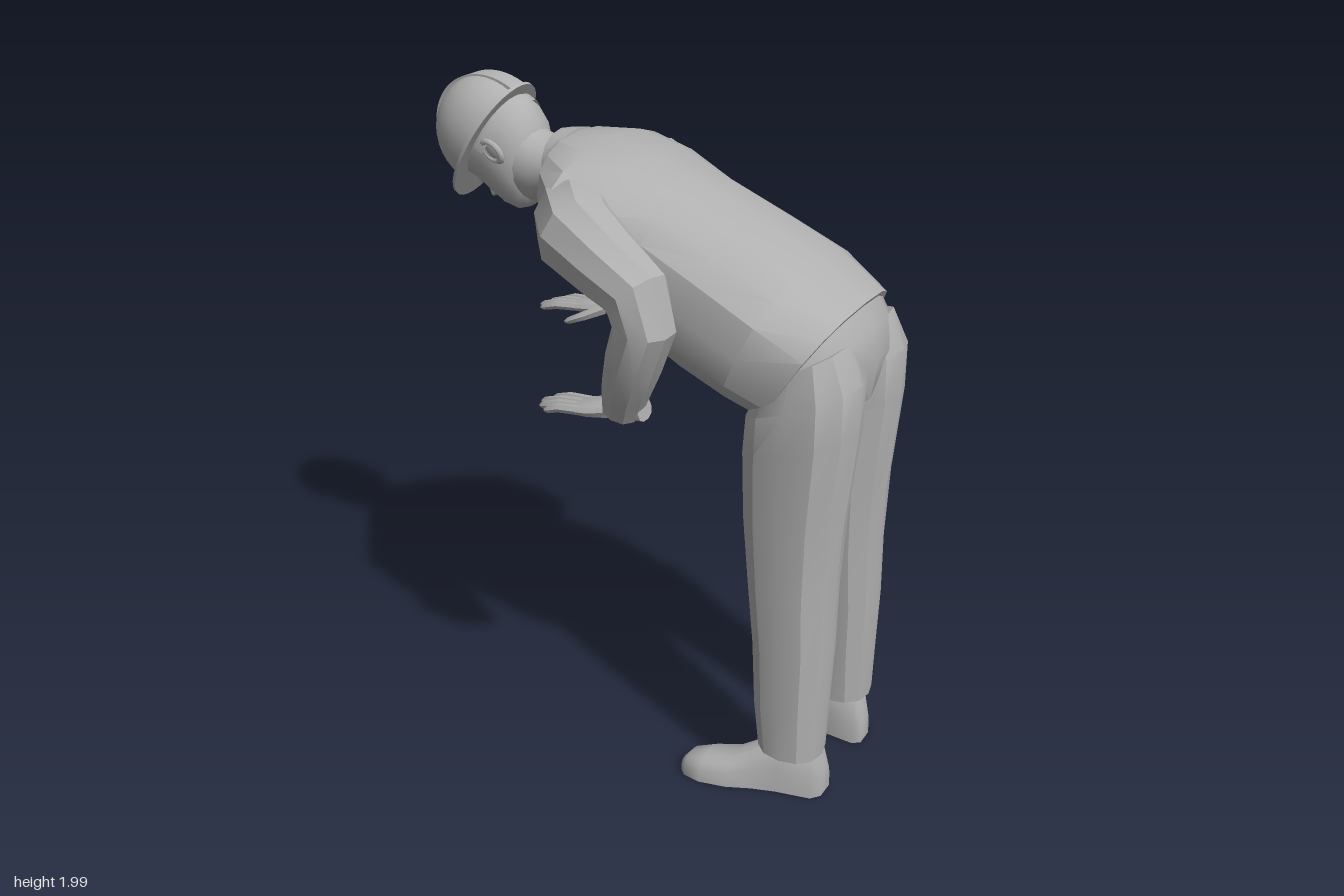
import * as THREE from 'three';
import { toCreasedNormals } from 'three/addons/utils/BufferGeometryUtils.js';

const V = (x, y, z) => new THREE.Vector3(x, y, z);

// Skin a closed tube over rings of { c: centre, u, v: half axes }
function loft(rings, sides = 14, power = 2.4, crease = 0.7, flatBase = false) {
  const pos = [], idx = [], n = rings.length;
  const bend = (t) => Math.sign(t) * Math.pow(Math.abs(t), 2 / power);
  for (const { c, u, v } of rings) {
    for (let i = 0; i < sides; i++) {
      const a = (i / sides) * Math.PI * 2;
      let s = bend(Math.sin(a));
      if (flatBase && s < 0) s = 0;
      const p = c.clone().addScaledVector(u, s).addScaledVector(v, bend(Math.cos(a)));
      pos.push(p.x, p.y, p.z);
    }
  }
  for (let r = 0; r < n - 1; r++) {
    for (let i = 0; i < sides; i++) {
      const j = (i + 1) % sides, a = r * sides, b = a + sides;
      idx.push(a + i, a + j, b + j, a + i, b + j, b + i);
    }
  }
  const first = rings[0].c, last = rings[n - 1].c;
  pos.push(first.x, first.y, first.z, last.x, last.y, last.z);
  for (let i = 0; i < sides; i++) {
    const j = (i + 1) % sides, e = (n - 1) * sides;
    idx.push(n * sides, j, i, n * sides + 1, e + i, e + j);
  }
  // Turn the faces outwards if the signed volume is negative
  const at = (i) => V(pos[i * 3], pos[i * 3 + 1], pos[i * 3 + 2]).sub(first);
  let volume = 0;
  for (let i = 0; i < idx.length; i += 3) volume += at(idx[i]).dot(at(idx[i + 1]).cross(at(idx[i + 2])));
  if (volume < 0) idx.reverse();
  const g = new THREE.BufferGeometry();
  g.setAttribute('position', new THREE.Float32BufferAttribute(pos, 3));
  g.setIndex(idx);
  return toCreasedNormals(g, crease);
}

// Rings given by two opposite profile points and a half width: [x1, y1, x2, y2, z, halfWidth]
const profile = (rows) => rows.map(([x1, y1, x2, y2, z, w]) => ({
  c: V((x1 + x2) / 2, (y1 + y2) / 2, z), u: V((x1 - x2) / 2, (y1 - y2) / 2, 0), v: V(0, 0, w),
}));

// Rings square to a path: [x, y, z, radius, sideways radius]
function path(rows) {
  const pts = rows.map((r) => V(r[0], r[1], r[2]));
  return rows.map((r, i) => {
    const t = pts[Math.min(i + 1, pts.length - 1)].clone().sub(pts[Math.max(i - 1, 0)]).normalize();
    const u = t.clone().cross(V(0, 0, 1)).normalize();
    const v = t.clone().cross(u).normalize();
    return { c: pts[i], u: u.multiplyScalar(r[3]), v: v.multiplyScalar(r[4] ?? r[3]) };
  });
}

export function createModel() {
  const grey = new THREE.MeshStandardMaterial({ color: 0xb0b0b0, side: THREE.DoubleSide });
  grey.name = 'plain grey';
  const model = new THREE.Group();
  model.name = 'bendingWorker';
  const add = (name, geo, parent = model) => {
    const m = new THREE.Mesh(geo, grey);
    m.name = name;
    parent.add(m);
    return m;
  };

  // Jacket, from neck to hem
  add('jacket', loft(profile([
    [-0.29, 1.85, -0.275, 1.65, 0, 0.12], [-0.245, 1.862, -0.25, 1.59, 0, 0.215],
    [-0.13, 1.86, -0.2, 1.53, 0, 0.325], [0, 1.83, -0.1, 1.45, 0, 0.325],
    [0.15, 1.775, 0.03, 1.35, 0, 0.285], [0.35, 1.69, 0.2, 1.265, 0, 0.3],
    [0.52, 1.61, 0.34, 1.215, 0, 0.315], [0.66, 1.515, 0.45, 1.17, 0, 0.285],
  ]), 16, 2.45, 0.5));
  add('collar', loft(profile([
    [-0.305, 1.862, -0.285, 1.645, 0, 0.12], [-0.25, 1.868, -0.23, 1.62, 0, 0.15],
  ]), 16, 2.2));
  for (const s of [1, -1]) {
    const lapel = new THREE.BufferGeometry().setFromPoints([
      V(-0.3, 1.68, 0.1 * s), V(-0.262, 1.56, 0.14 * s), V(-0.12, 1.455, 0.02 * s),
      V(-0.3, 1.68, 0.1 * s), V(-0.12, 1.455, 0.02 * s), V(-0.275, 1.61, 0.03 * s),
    ]);
    lapel.computeVertexNormals();
    add(s > 0 ? 'lapelNear' : 'lapelFar', lapel);
  }

  // Trousers and shoes
  add('hips', loft(profile([
    [0.645, 1.515, 0.435, 1.185, 0, 0.272], [0.685, 1.45, 0.41, 1.17, 0, 0.278],
    [0.708, 1.36, 0.41, 1.16, 0, 0.23], [0.69, 1.24, 0.43, 1.14, 0, 0.07],
  ]), 16, 2.4));
  for (const s of [1, -1]) {
    const side = s > 0 ? 'Near' : 'Far';
    const legRows = [
      [0.46, 1.33, 0.672, 1.44, 0.138, 0.13], [0.403, 1.21, 0.722, 1.34, 0.146, 0.146],
      [0.395, 1.1, 0.724, 1.2, 0.15, 0.138], [0.405, 0.9, 0.7, 0.93, 0.156, 0.124],
      [0.428, 0.7, 0.69, 0.7, 0.162, 0.116], [0.452, 0.5, 0.692, 0.5, 0.168, 0.108],
      [0.465, 0.3, 0.686, 0.3, 0.172, 0.101], [0.485, 0.15, 0.682, 0.15, 0.175, 0.095],
    ];
    add('trouserLeg' + side, loft(profile(legRows.map((r) => [...r.slice(0, 4), r[4] * s, r[5]])), 12, 2.25, 0.5));
    const shoeRows = [ // x, height, z, half width
      [0.688, 0.09, 0.15, 0.03], [0.665, 0.16, 0.155, 0.053], [0.56, 0.165, 0.17, 0.062],
      [0.49, 0.135, 0.19, 0.066], [0.42, 0.09, 0.213, 0.075], [0.34, 0.075, 0.235, 0.072],
      [0.285, 0.06, 0.248, 0.052], [0.264, 0.035, 0.254, 0.025],
    ];
    add('shoe' + side, loft(shoeRows.map(([x, h, z, w]) => (
      { c: V(x, 0, z * s), u: V(0, h, 0), v: V(0, 0, w) })), 16, 2.7, 0.9, true));
  }

  // Sleeves: the near elbow is drawn back, the far forearm reaches forward
  add('sleeveNear', loft(path([
    [-0.13, 1.69, 0.14, 0.11], [-0.1, 1.685, 0.24, 0.12], [-0.04, 1.67, 0.32, 0.115],
    [0.08, 1.63, 0.375, 0.1], [0.185, 1.58, 0.402, 0.09], [0.21, 1.49, 0.405, 0.084],
    [0.17, 1.38, 0.395, 0.078], [0.125, 1.28, 0.36, 0.068], [0.1, 1.205, 0.34, 0.055],
  ]), 10, 2.2, 0.5));
  add('sleeveFar', loft(path([
    [-0.13, 1.69, -0.14, 0.11], [-0.115, 1.68, -0.24, 0.12], [-0.085, 1.62, -0.32, 0.115],
    [-0.035, 1.49, -0.38, 0.1], [-0.005, 1.385, -0.402, 0.088], [-0.04, 1.325, -0.405, 0.082],
    [-0.12, 1.29, -0.39, 0.076], [-0.22, 1.24, -0.372, 0.063], [-0.31, 1.205, -0.358, 0.046],
  ]), 10, 2.2, 0.5));

  // Hands, palms down, thumbs towards the body
  const hand = (name, x, y, z, s) => {
    const g = new THREE.Group();
    g.name = name;
    g.position.set(x, y, z);
    g.rotation.z = 0.16;
    add('palm', loft(path([
      [0.04, 0, 0, 0.03, 0.036], [-0.03, 0, 0, 0.026, 0.034], [-0.08, 0, 0.004 * s, 0.026, 0.048],
      [-0.13, 0, 0, 0.022, 0.054], [-0.175, 0, 0, 0.014, 0.05],
    ]), 10), g);
    const tips = [[-0.295, 0.046], [-0.315, 0.016], [-0.3, -0.016], [-0.265, -0.046]];
    tips.forEach(([tx, tz], i) => {
      const z0 = (0.036 - i * 0.024) * s;
      add('finger', loft(path([
        [-0.15, 0, z0, 0.014], [(tx - 0.17) / 2, 0.006, (z0 + tz * s) / 2, 0.014],
        [tx + 0.012, 0, tz * s, 0.011], [tx, -0.002, tz * s, 0.005],
      ]), 6, 2), g);
    });
    add('thumb', loft(path([
      [-0.06, -0.005, 0.03 * s, 0.02], [-0.12, -0.022, 0.058 * s, 0.016],
      [-0.175, -0.036, 0.07 * s, 0.012], [-0.19, -0.04, 0.071 * s, 0.005],
    ]), 6, 2), g);
    model.add(g);
  };
  hand('handNear', 0.13, 1.21, 0.335, -1);
  hand('handFar', -0.315, 1.203, -0.35, 1);

  // Neck
  add('neck', loft(profile([
    [-0.45, 1.89, -0.45, 1.64, 0, 0.09], [-0.37, 1.845, -0.365, 1.635, 0, 0.097],
    [-0.31, 1.825, -0.3, 1.665, 0, 0.1], [-0.24, 1.83, -0.22, 1.67, 0, 0.105],
  ]), 16, 2, 1.2));

  // Head, built upright and tipped forward about the brim
  const head = new THREE.Group();
  head.name = 'head';
  head.position.set(-0.54, 1.81, -0.005);
  head.rotation.z = 1.02;
  model.add(head);
  add('face', loft(profile([
    [-0.135, 0.05, 0.15, 0.05, 0, 0.11], [-0.142, 0, 0.155, 0, 0, 0.117],
    [-0.132, -0.045, 0.155, -0.05, 0, 0.119], [-0.137, -0.1, 0.135, -0.1, 0, 0.113],
    [-0.138, -0.15, 0.09, -0.15, 0, 0.096], [-0.13, -0.185, 0.03, -0.185, 0, 0.072],
    [-0.105, -0.207, -0.01, -0.207, 0, 0.045],
  ]), 20, 2.1, 1.2), head);
  add('nose', loft(profile([
    [-0.138, -0.02, -0.11, -0.02, 0, 0.01], [-0.155, -0.06, -0.11, -0.06, 0, 0.015],
    [-0.17, -0.085, -0.11, -0.088, 0, 0.024], [-0.145, -0.1, -0.11, -0.1, 0, 0.02],
  ]), 8, 2, 1), head);
  add('lips', new THREE.SphereGeometry(1, 10, 8).scale(0.014, 0.013, 0.032), head).position.set(-0.135, -0.133, 0);
  for (const s of [1, -1]) {
    add('eye', new THREE.SphereGeometry(0.016, 10, 8), head).position.set(-0.112, -0.045, 0.045 * s);
    const ear = new THREE.Group();
    ear.name = 'ear';
    ear.position.set(0.025, -0.065, 0.116 * s);
    ear.rotation.y = -0.25 * s;
    add('earRim', new THREE.TorusGeometry(0.024, 0.008, 6, 14).scale(1, 1.5, 1.2), ear);
    add('earBowl', new THREE.SphereGeometry(1, 10, 8).scale(0.023, 0.035, 0.006), ear);
    head.add(ear);
  }

  // Hard hat: full dome, low centre ridge, peaked brim and head strap
  const domeProfile = Array.from({ length: 11 }, (_, i) => {
    const a = (i / 10) * (Math.PI / 2);
    return new THREE.Vector2(Math.pow(Math.max(0, Math.cos(a)), 0.9), Math.pow(Math.sin(a), 0.9));
  });
  add('helmetDome', new THREE.LatheGeometry(domeProfile, 28).scale(0.173, 0.189, 0.138), head);
  const ridge = new THREE.Shape().absellipse(0, 0, 0.176, 0.197, 0, Math.PI, false);
  add('helmetRidge', toCreasedNormals(new THREE.ExtrudeGeometry(ridge,
    { depth: 0.07, bevelEnabled: false, curveSegments: 16 }).translate(0, 0, -0.035), 0.7), head);
  const brim = new THREE.Shape(Array.from({ length: 36 }, (_, i) => {
    const a = (i / 36) * Math.PI * 2, c = Math.cos(a);
    return new THREE.Vector2(c * (c < 0 ? 0.228 : 0.19), Math.sin(a) * 0.15);
  }));
  add('helmetBrim', toCreasedNormals(new THREE.ExtrudeGeometry(brim,
    { depth: 0.01, bevelEnabled: false }).rotateX(-Math.PI / 2).translate(0, -0.005, 0), 0.7), head);
  add('headStrap', new THREE.CylinderGeometry(1, 1, 0.03, 20, 1, true, 0, Math.PI)
    .scale(0.163, 1, 0.125), head).position.y = -0.03;

  return model;
}
